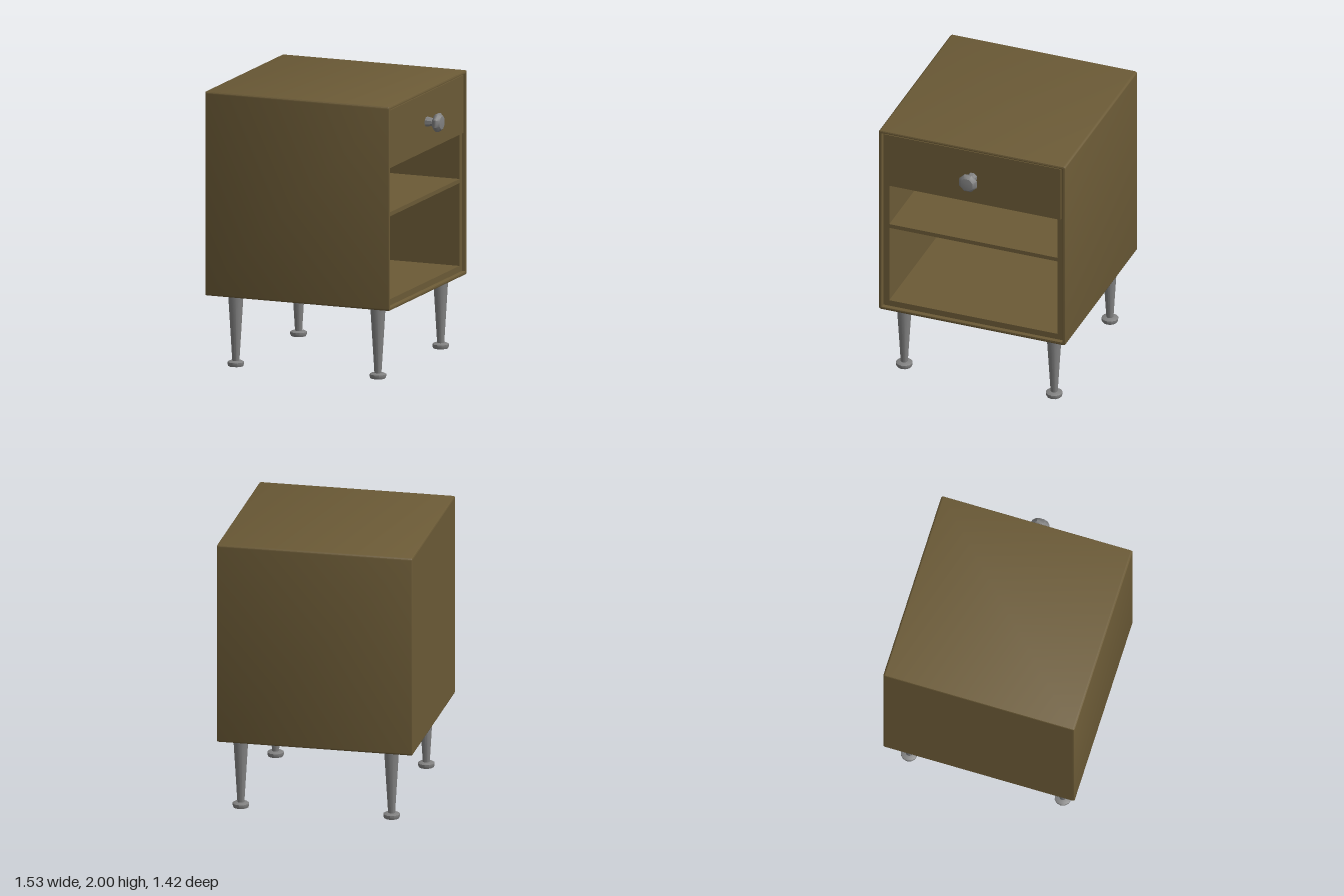
import * as THREE from 'three';
import { toCreasedNormals } from 'three/addons/utils/BufferGeometryUtils.js';

const wood = new THREE.MeshStandardMaterial({ color: 0x6b5a36 });
const metal = new THREE.MeshStandardMaterial({ color: 0x808080 });

// Rectangle path spanning z = -w..w and y = y0..y1, with rounded corners
function rect(Type, w, y0, y1, r = 0) {
  const p = new Type();
  if (!r) {
    p.moveTo(-w, y0).lineTo(w, y0).lineTo(w, y1).lineTo(-w, y1).closePath();
    return p;
  }
  p.moveTo(-w + r, y0).lineTo(w - r, y0).quadraticCurveTo(w, y0, w, y0 + r);
  p.lineTo(w, y1 - r).quadraticCurveTo(w, y1, w - r, y1);
  p.lineTo(-w + r, y1).quadraticCurveTo(-w, y1, -w, y1 - r);
  p.lineTo(-w, y0 + r).quadraticCurveTo(-w, y0, -w + r, y0);
  return p;
}

// Extrude a zy outline from x0 to x1, with optional bevelled ends
function extrudeX(shape, x0, x1, bevel = 0) {
  const geo = new THREE.ExtrudeGeometry(shape, {
    depth: x1 - x0 - 2 * bevel, bevelEnabled: bevel > 0,
    bevelSize: bevel, bevelThickness: bevel, bevelSegments: 2, curveSegments: 3,
  });
  return geo.rotateY(Math.PI / 2).translate(x0 + bevel, 0, 0);
}

// Turned profile of [radius, height] pairs
function turned(profile, sides, crease) {
  const pts = profile.map(([r, y]) => new THREE.Vector2(r, y));
  return toCreasedNormals(new THREE.LatheGeometry(pts, sides), crease);
}

export function createModel() {
  const model = new THREE.Group();
  const add = (name, geo, mat, parent = model) => {
    const mesh = new THREE.Mesh(geo, mat);
    mesh.name = name;
    parent.add(mesh);
    return mesh;
  };

  // Outer shell: a rounded tube, open towards +x
  const b = 0.01;
  const shell = rect(THREE.Shape, 0.71 - b, 0.52 + b, 2 - b, 0.008);
  shell.holes.push(rect(THREE.Path, 0.685 + b, 0.545 - b, 1.975 + b));
  add('outerShell', toCreasedNormals(extrudeX(shell, -0.77, 0.65, b), 0.6), wood);

  // Back panel closing the shell
  add('backPanel', extrudeX(rect(THREE.Shape, 0.695, 0.535, 1.985), -0.77, -0.7), wood);

  // Inner carcass with two open compartments and the shelf between them
  const carcass = rect(THREE.Shape, 0.69, 0.54, 1.98);
  carcass.holes.push(rect(THREE.Path, 0.64, 0.59, 1.19), rect(THREE.Path, 0.64, 1.22, 1.54));
  add('carcassAndShelf', extrudeX(carcass, -0.71, 0.62), wood);

  // Drawer front, set just inside the shell
  add('drawerFront', extrudeX(rect(THREE.Shape, 0.67, 1.55, 1.968), 0.6, 0.638), wood);

  // Faceted drawer knob pointing along +x
  const knob = add('drawerKnob', turned([
    [0.038, -0.015], [0.035, 0.02], [0.026, 0.055], [0.055, 0.067],
    [0.07, 0.085], [0.07, 0.1], [0.05, 0.123], [0, 0.13],
  ], 8, 0.7).rotateY(Math.PI / 8).rotateZ(-Math.PI / 2), metal);
  knob.position.set(0.635, 1.76, 0);

  // Tapered legs with flared feet
  const legGeo = turned([[0.025, 0.03], [0.055, 0.525], [0, 0.525]], 16, 0.7);
  const footGeo = turned([
    [0, 0], [0.054, 0], [0.06, 0.015], [0.06, 0.03], [0.045, 0.038], [0, 0.04],
  ], 12, 0.5);
  for (const x of [-0.59, 0.505]) {
    for (const z of [-0.57, 0.57]) {
      const leg = new THREE.Group();
      leg.name = (x > 0 ? 'openSide' : 'backSide') + (z > 0 ? 'FrontLeg' : 'RearLeg');
      add('taperedLeg', legGeo, metal, leg);
      add('foot', footGeo, metal, leg);
      leg.position.set(x, 0, z);
      model.add(leg);
    }
  }
  return model;
}
